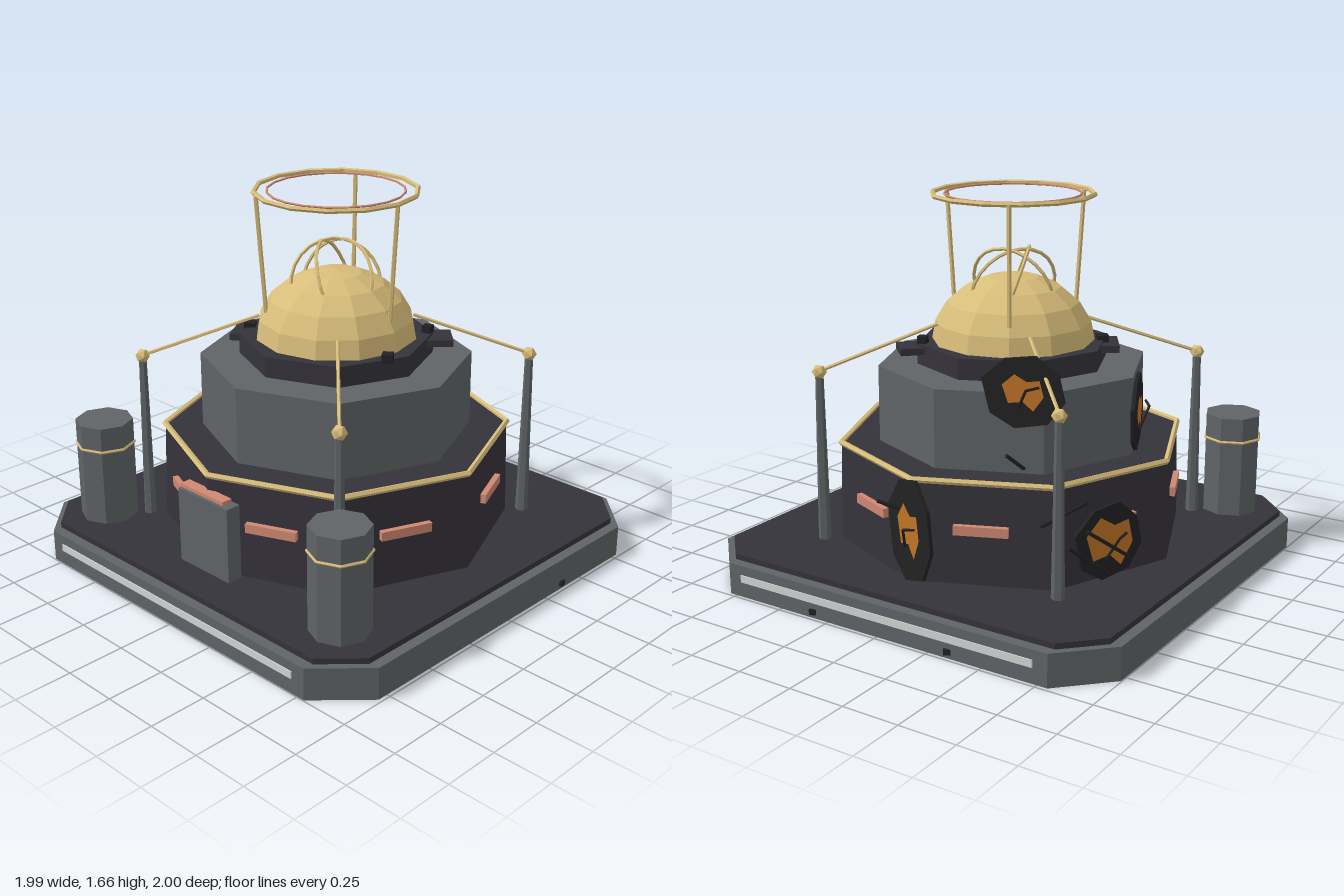
import * as THREE from 'three';

const material = (name, color) => {
  const m = new THREE.MeshStandardMaterial({ color });
  m.name = name;
  return m;
};
const V = (x, y, z) => new THREE.Vector3(x, y, z);

export function createModel() {
  const stone = material('grey stone', 0x5f6466);
  const dark = material('dark slate', 0x35333a);
  const char = material('charred black', 0x222224);
  const gold = material('gold', 0xd8bd7a);
  const copper = material('copper', 0xcf8872);
  const ember = material('ember orange', 0xc07426);
  const white = material('pale stripe', 0xd0d5d3);

  const root = new THREE.Group();
  root.name = 'domedObservatory';
  const model = new THREE.Group();
  model.name = 'building';
  model.position.set(-0.006, 0, 0.006);
  root.add(model);

  // Adds a faceted mesh
  const add = (name, geo, mat, x = 0, y = 0, z = 0, parent = model) => {
    const g = geo.index ? geo.toNonIndexed() : geo;
    g.computeVertexNormals();
    const mesh = new THREE.Mesh(g, mat);
    mesh.name = name;
    mesh.position.set(x, y, z);
    parent.add(mesh);
    return mesh;
  };
  const box = (name, w, h, d, mat, x, y, z, parent) =>
    add(name, new THREE.BoxGeometry(w, h, d), mat, x, y, z, parent);
  const drum = (name, rTop, rBottom, y0, y1, sides, mat, x = 0, z = 0) =>
    add(name, new THREE.CylinderGeometry(rTop, rBottom, y1 - y0, sides), mat, x, (y0 + y1) / 2, z);
  const ring = (name, r, tube, sides, mat, x, y, z) =>
    add(name, new THREE.TorusGeometry(r, tube, 5, sides).rotateX(Math.PI / 2), mat, x, y, z);
  const rod = (name, a, b, r, mat, parent = model) => {
    const mesh = add(name, new THREE.CylinderGeometry(r, r, a.distanceTo(b), 5), mat, 0, 0, 0, parent);
    mesh.position.lerpVectors(a, b, 0.5);
    mesh.quaternion.setFromUnitVectors(V(0, 1, 0), b.clone().sub(a).normalize());
    return mesh;
  };
  const polygon = (points) => new THREE.Shape(points.map(([x, y]) => new THREE.Vector2(x, y)));

  // Base slabs with cut corners
  const slab = (name, s, cut, y0, y1, mat) => {
    const k = s - cut;
    const shape = polygon([[s, -k], [s, k], [k, s], [-k, s], [-s, k], [-s, -k], [-k, -s], [k, -s]]);
    const geo = new THREE.ExtrudeGeometry(shape, { depth: y1 - y0, bevelEnabled: false });
    add(name, geo.rotateX(-Math.PI / 2), mat, 0, y0, 0);
  };
  slab('baseSlab', 0.99, 0.2, 0, 0.14, stone);
  slab('deck', 0.945, 0.15, 0.14, 0.165, dark);
  for (const s of [1, -1]) box('baseStripe', 1.45, 0.032, 0.008, white, 0, 0.083, s * 0.991);

  // Octagonal storeys
  drum('lowerBody', 0.755, 0.768, 0.165, 0.595, 8, dark);
  ring('lowerTrim', 0.757, 0.014, 8, gold, 0, 0.597, 0);
  drum('upperDrum', 0.59, 0.59, 0.595, 0.93, 8, stone);
  drum('collar', 0.42, 0.42, 0.93, 1.02, 8, dark);

  // Copper panel on each lower wall
  for (let i = 0; i < 8; i++) {
    const a = Math.PI / 8 + (i * Math.PI) / 4;
    box('wallPanel', 0.225, 0.04, 0.03, copper, Math.sin(a) * 0.712, 0.4, Math.cos(a) * 0.712).rotation.y = a;
  }

  // Door and lintel
  box('door', 0.3, 0.335, 0.07, stone, 0, 0.3325, 0.754);
  box('lintel', 0.26, 0.016, 0.05, copper, 0, 0.522, 0.768);

  // Dome
  add('dome', new THREE.SphereGeometry(0.355, 12, 5, 0, Math.PI * 2, 0, Math.PI / 2).scale(1, 0.85, 1), gold, 0, 1.008, 0);

  // Crossed arches over the dome
  for (let i = 0; i < 3; i++) {
    const geo = new THREE.TorusGeometry(0.2, 0.008, 5, 12, Math.PI).rotateX(-0.35);
    add('domeArch', geo, gold, 0, 1.235, 0).rotation.y = (i * Math.PI) / 3;
  }

  // Halo ring on three legs
  ring('haloRing', 0.347, 0.011, 14, gold, 0, 1.652, 0);
  ring('haloInnerRing', 0.292, 0.005, 20, copper, 0, 1.652, 0);
  for (let i = 0; i < 3; i++) {
    const c = Math.cos((i * 2 * Math.PI) / 3), s = Math.sin((i * 2 * Math.PI) / 3);
    rod('haloLeg', V(c * 0.31, 1.14, s * 0.31), V(c * 0.345, 1.65, s * 0.345), 0.01, gold);
  }

  // Corner posts with finials and stays
  for (const sx of [1, -1]) {
    for (const sz of [1, -1]) {
      drum('cornerPost', 0.018, 0.028, 0.165, 0.9, 6, stone, sx * 0.595, sz * 0.595);
      add('postFinial', new THREE.IcosahedronGeometry(0.033, 0), gold, sx * 0.595, 0.917, sz * 0.595);
      rod('stay', V(sx * 0.595, 0.92, sz * 0.595), V(sx * 0.235, 1.1, sz * 0.235), 0.008, gold);
    }
  }

  // Front tanks
  for (const sx of [1, -1]) {
    drum('tank', 0.127, 0.127, 0.165, 0.622, 8, stone, sx * 0.725, 0.725);
    ring('tankBand', 0.128, 0.007, 8, gold, sx * 0.725, 0.512, 0.725);
  }

  // Burnt wall plates with glowing breaches and bent rods
  const outline = [[1, -0.25], [0.85, 0.5], [0.3, 1], [-0.45, 0.9], [-1, 0.35], [-0.8, -0.6], [-0.2, -1], [0.6, -0.85]];
  const breach = [[0.5, -0.1], [0.4, 0.35], [0.1, 0.3], [-0.2, 0.5], [-0.5, 0.2], [-0.35, -0.3], [0, -0.25], [0.25, -0.5]];
  const scaled = (points, w, h) => polygon(points.map(([x, y]) => [x * w, y * h]));
  const burntPlate = (x, y, z, nx, nz, w, h, glow = 1) => {
    const g = new THREE.Group();
    g.name = 'burntPlate';
    g.position.set(x, y, z);
    g.rotation.y = Math.atan2(nx, nz);
    model.add(g);
    const geo = new THREE.ExtrudeGeometry(scaled(outline, w, h), { depth: 0.016, bevelEnabled: false });
    add('charredPanel', geo, char, 0, 0, -0.008, g);
    add('emberBreach', new THREE.ShapeGeometry(scaled(breach, w * glow, h * glow)), ember, 0, 0, 0.012, g);
    rod('bentRod', V(-0.02, -0.07, 0.015), V(0.02, 0.02, 0.05), 0.006, char, g);
    rod('bentRod', V(0.02, 0.02, 0.05), V(0.07, 0.03, 0.03), 0.006, char, g);
  };
  burntPlate(-0.01, 0.385, -0.775, 0.33, -0.94, 0.15, 0.222);
  burntPlate(-0.56, 0.755, 0.1, -0.92, 0.38, 0.19, 0.16);
  burntPlate(-0.345, 0.94, -0.46, -0.36, -0.93, 0.17, 0.15);
  burntPlate(-0.67, 0.335, -0.33, -0.92, -0.38, 0.17, 0.16, 1.4);

  // Loose struts around the worst breach
  rod('looseStrut', V(-0.6, 0.5, -0.36), V(-0.53, 0.46, -0.62), 0.008, char);
  rod('looseStrut', V(-0.74, 0.28, -0.3), V(-0.66, 0.42, -0.48), 0.008, char);
  rod('looseStrut', V(-0.7, 0.22, -0.38), V(-0.61, 0.36, -0.54), 0.008, char);
  rod('looseStrut', V(-0.35, 0.62, -0.46), V(-0.33, 0.7, -0.56), 0.008, char);
  rod('looseStrut', V(0.05, 0.45, -0.74), V(0.12, 0.5, -0.82), 0.008, char);

  // Rubble on the collar and base edge
  const rubble = [
    [0.4, 1.04, 0.11, 0.045, 0.6], [0.28, 1.035, -0.28, 0.04, 0.3], [-0.33, 1.02, 0.2, 0.05, 0.7],
    [-0.335, 0.028, -0.985, 0.03, 0.5], [0.335, 0.028, -0.985, 0.03, 0.3], [0.985, 0.028, -0.37, 0.03, 0.2],
  ];
  for (const [x, y, z, s, turn] of rubble) box('rubble', s, s * 0.8, s, char, x, y, z).rotation.y = turn;
  // Broken collar flaps
  for (const [x, z, a] of [[0.3, -0.28, 0.8], [-0.33, 0.2, -1.0], [-0.25, -0.31, -2.5]])
    box('collarFlap', 0.18, 0.03, 0.14, dark, x, 0.995, z).rotation.y = a;

  return root;
}
